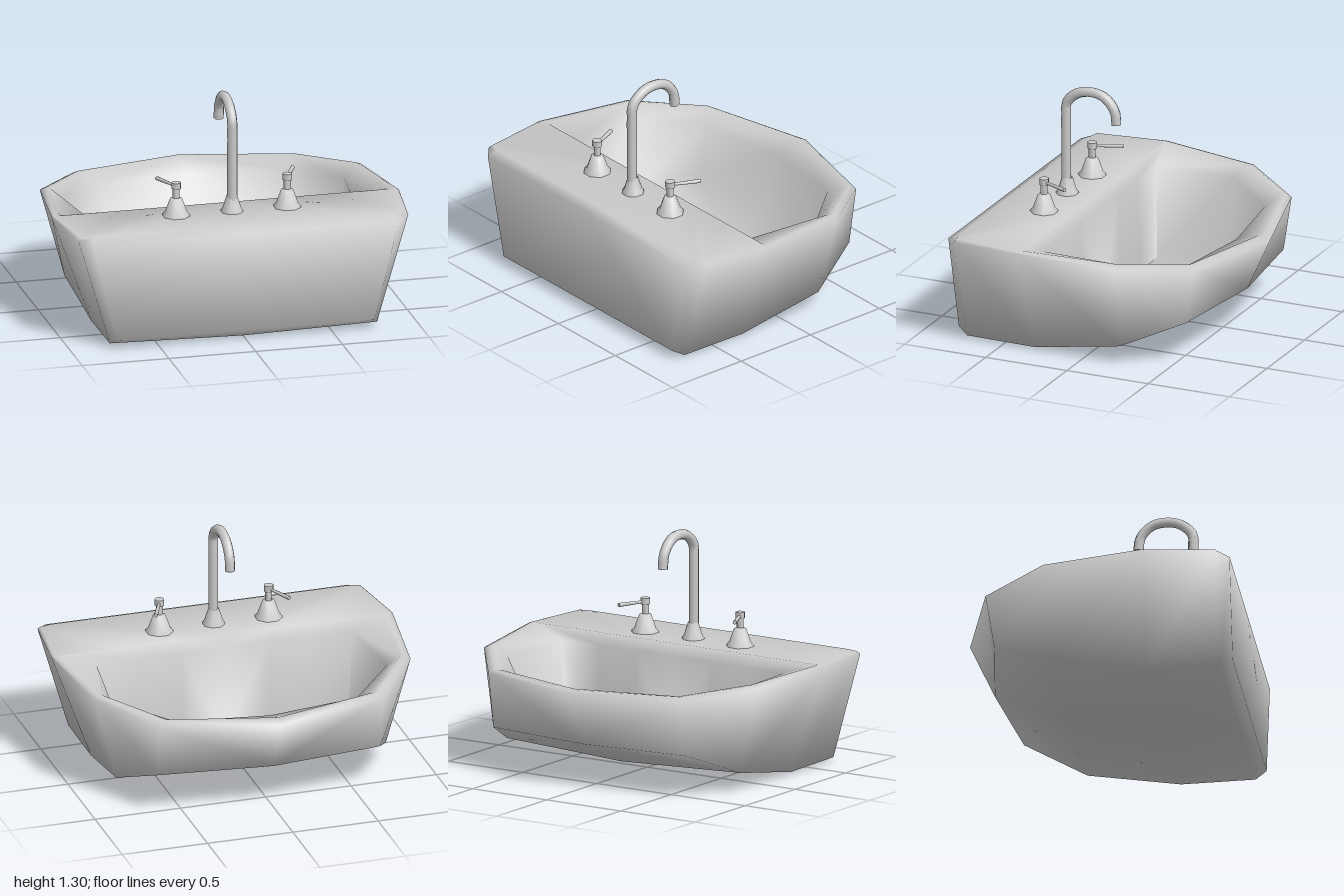
import * as THREE from 'three';
import { mergeGeometries, toCreasedNormals } from 'three/addons/utils/BufferGeometryUtils.js';

const grey = new THREE.MeshStandardMaterial({ color: 0xcccccc, side: THREE.DoubleSide });

// Half cross-sections, each running from the bowl tip (-z) round +x to the flat wall side (+z)
const TIP = [0, 0.26, -0.65];
const WALL_FOOT = [0, 0.06, 0.785];
const keel = [TIP, TIP, [0, 0.085, -0.25], [0, 0.005, 0.3], [0, 0.008, 0.72], WALL_FOOT, WALL_FOOT];
const underside = [TIP, [0.65, 0.258, -0.57], [0.79, 0.115, -0.23], [0.77, 0.02, 0.3],
  [0.77, 0.025, 0.72], [0.74, 0.06, 0.785], WALL_FOOT];
const outerEdge = [[0, 0.57, -0.79], [0.65, 0.578, -0.62], [0.925, 0.622, -0.26], [1, 0.65, 0.31],
  [0.95, 0.64, 0.72], [0.88, 0.63, 0.785], [0, 0.63, 0.785]];
const topEdge = [[0, 0.59, -0.755], [0.625, 0.597, -0.595], [0.895, 0.635, -0.25], [0.985, 0.655, 0.31],
  [0.935, 0.655, 0.71], [0.87, 0.655, 0.725], [0, 0.655, 0.725]];
const lip = [[0, 0.59, -0.725], [0.605, 0.595, -0.575], [0.87, 0.633, -0.235], [0.95, 0.655, 0.3],
  [0.6, 0.655, 0.3], [0.3, 0.655, 0.3], [0, 0.655, 0.3]];
const brim = [[0, 0.54, -0.58], [0.53, 0.545, -0.51], [0.81, 0.57, -0.19], [0.75, 0.59, 0.26],
  [0.5, 0.59, 0.262], [0.25, 0.59, 0.264], [0, 0.59, 0.266]];

// Inside of the bowl: floor outline and floor centre line, just above the underside
const BOWL_FRONT = [0, 0.255, -0.49];
const BOWL_BACK = [0, 0.045, 0.24];
const floorEdge = [BOWL_FRONT, [0.5, 0.27, -0.44], [0.75, 0.17, -0.18], [0.72, 0.06, 0.24],
  [0.5, 0.055, 0.24], [0.25, 0.05, 0.24], BOWL_BACK];
const floorCentre = [BOWL_FRONT, BOWL_FRONT, [0, 0.115, -0.23], BOWL_BACK, BOWL_BACK, BOWL_BACK, BOWL_BACK];

// Lofts the half sections, then mirrors them across x = 0
function mirroredLoft(sections) {
  const pos = [];
  const tri = (a, b, c) => {
    const [A, B, C] = [a, b, c].map(p => new THREE.Vector3(...p));
    if (new THREE.Triangle(A, B, C).getArea() < 1e-6) return;
    pos.push(...a, ...b, ...c);
    for (const p of [a, c, b]) pos.push(-p[0], p[1], p[2]);
  };
  for (let i = 0; i < sections.length - 1; i++) {
    const s = sections[i], t = sections[i + 1];
    for (let k = 0; k < s.length - 1; k++) {
      tri(s[k], t[k], t[k + 1]);
      tri(s[k], t[k + 1], s[k + 1]);
    }
  }
  const g = new THREE.BufferGeometry();
  g.setAttribute('position', new THREE.Float32BufferAttribute(pos, 3));
  return toCreasedNormals(g, 2);
}

function add(parent, name, geometry, x = 0, y = 0, z = 0) {
  const mesh = new THREE.Mesh(geometry, grey);
  mesh.name = name;
  mesh.position.set(x, y, z);
  parent.add(mesh);
  return mesh;
}

const turned = points => toCreasedNormals(
  new THREE.LatheGeometry(points.map(p => new THREE.Vector2(...p)), 8, Math.PI / 8), 1.2);

// One tap: flared base, neck, collar and angled lever
function makeTap(side) {
  const tap = new THREE.Group();
  tap.name = side > 0 ? 'leftTap' : 'rightTap';
  tap.position.set(0.32 * side, 0.65, 0.455);
  add(tap, 'tapBase', turned([[0.08, 0], [0.078, 0.012], [0.062, 0.03], [0.035, 0.105], [0.02, 0.11], [0.02, 0.17]]));
  add(tap, 'tapCollar', new THREE.CylinderGeometry(0.028, 0.028, 0.036, 8), 0, 0.182, 0);
  const pivot = new THREE.Group();
  pivot.name = 'leverPivot';
  pivot.position.y = 0.178;
  pivot.rotation.y = Math.PI - side * 0.42;
  tap.add(pivot);
  const lever = add(pivot, 'lever', new THREE.CylinderGeometry(0.012, 0.008, 0.17, 8), 0, 0, 0.09);
  lever.rotation.x = Math.PI / 2;
  return tap;
}

export function createModel() {
  const model = new THREE.Group();
  model.name = 'washbasin';

  // Basin shell: underside, sides, deck, lip and bowl in one smooth skin
  add(model, 'basin', mirroredLoft(
    [keel, underside, outerEdge, topEdge, lip, brim, floorEdge, floorCentre]));

  // Domed drain cap
  add(model, 'drain', turned([[0.065, -0.01], [0.062, 0.01], [0.035, 0.02], [0, 0.024]]), 0, 0.08, 0);

  // Spout: flared foot and hooked pipe with a closed mouth
  const spout = new THREE.Group();
  spout.name = 'spout';
  model.add(spout);
  add(spout, 'spoutFoot', turned([[0.065, 0], [0.063, 0.012], [0.052, 0.03], [0.03, 0.1]]), 0, 0.65, 0.46);
  const path = new THREE.CatmullRomCurve3(
    [[0.7, 0.467], [1.0, 0.467], [1.12, 0.467], [1.195, 0.462], [1.258, 0.397], [1.277, 0.317],
      [1.26, 0.235], [1.19, 0.17], [1.108, 0.158]].map(([y, z]) => new THREE.Vector3(0, y, z)));
  const pipe = new THREE.TubeGeometry(path, 30, 0.029, 8);
  const mouth = new THREE.CircleGeometry(0.029, 8);
  mouth.rotateX(Math.PI / 2);
  mouth.translate(0, 1.11, 0.158);
  add(spout, 'spoutPipe', mergeGeometries([pipe, mouth]));

  // Taps on either side of the spout
  for (const side of [1, -1]) model.add(makeTap(side));
  return model;
}
